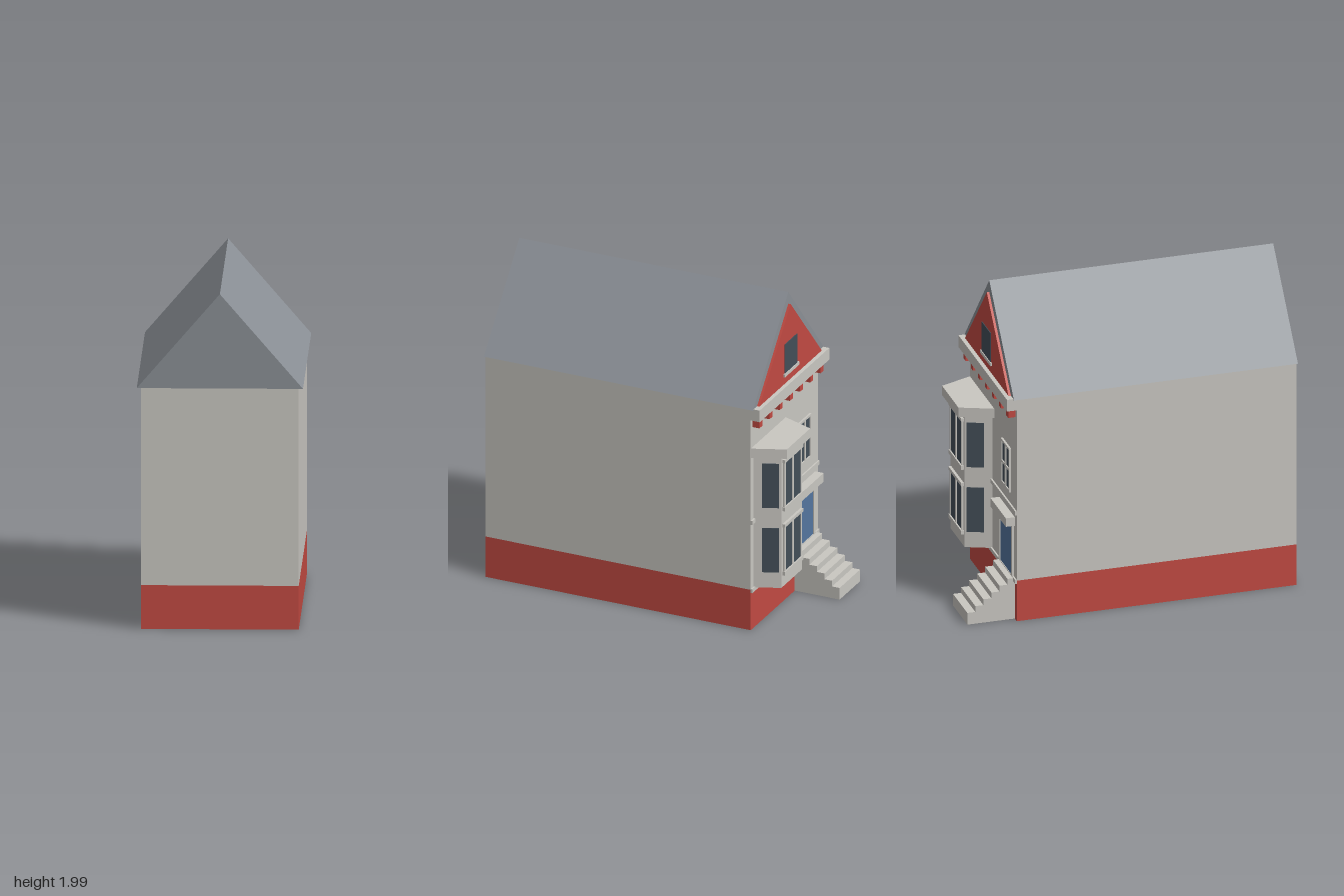
import * as THREE from 'three';

const mat = (name, color) => {
  const m = new THREE.MeshStandardMaterial({ color });
  m.name = name;
  return m;
};

export function createModel() {
  const house = new THREE.Group();
  house.name = 'townhouse';
  const stone = mat('pale stone', 0xc9c7c1);
  const red = mat('brick red', 0xc24a42);
  const slate = mat('roof slate', 0x8b9096);
  const glass = mat('dark glass', 0x434e58);
  const blue = mat('door blue', 0x54769f);

  const add = (name, geometry, material) => {
    const mesh = new THREE.Mesh(geometry, material);
    mesh.name = name;
    house.add(mesh);
    return mesh;
  };
  // Box given by its limits on each axis
  const box = (name, material, x0, x1, y0, y1, z0, z1) => {
    const mesh = add(name, new THREE.BoxGeometry(x1 - x0, y1 - y0, z1 - z0), material);
    mesh.position.set((x0 + x1) / 2, (y0 + y1) / 2, (z0 + z1) / 2);
    return mesh;
  };
  const extrude = (points, depth) => new THREE.ExtrudeGeometry(
    new THREE.Shape(points.map(([x, y]) => new THREE.Vector2(x, y))),
    { depth, bevelEnabled: false });
  // Triangular prism along z
  const gable = (name, material, half, y0, y1, z0, z1) => {
    const g = extrude([[-half, y0], [half, y0], [0, y1]], z1 - z0);
    add(name, g.translate(0, 0, z0), material);
  };
  // Bay-shaped slab; front and back are half widths
  const baySlab = (name, back, front, z, y0, y1) => {
    const c = 0.22;
    const g = extrude([[c - back, 0.71], [c + back, 0.71], [c + front, z], [c - front, z]], y1 - y0);
    add(name, g.rotateX(-Math.PI / 2).translate(0, y0, 0), stone);
  };

  // Main body and roof
  box('basement', red, -0.46, 0.46, 0, 0.26, -0.71, 1);
  box('walls', stone, -0.46, 0.46, 0.26, 1.43, -0.71, 1);
  gable('roof', slate, 0.485, 1.43, 1.99, -0.735, 1);
  gable('gablePanel', red, 0.43, 1.43, 1.915, -0.75, -0.735);

  // Attic window
  box('atticGlass', glass, -0.085, 0.085, 1.505, 1.69, -0.755, -0.75);
  box('atticSill', stone, -0.1, 0.1, 1.485, 1.505, -0.76, -0.75);

  // Cornice with brackets, and string courses
  box('cornice', stone, -0.475, 0.475, 1.36, 1.435, -0.775, -0.7);
  for (let i = -3; i <= 3; i++) {
    const x = i * 0.139;
    box('bracket', red, x - 0.02, x + 0.02, 1.3, 1.36, -0.755, -0.71);
  }
  box('upperStringCourse', stone, -0.46, 0.46, 0.68, 0.705, -0.72, -0.71);
  box('lowerStringCourse', stone, -0.46, 0.46, 0.24, 0.265, -0.72, -0.71);

  // Bay window
  baySlab('bayBody', 0.2, 0.14, 0.86, 0.26, 1.11);
  baySlab('bayCornice', 0.238, 0.16, 0.905, 1.11, 1.17);
  for (const y of [0.36, 0.775]) {
    const top = y + 0.285;
    for (const s of [-1, 1]) {
      const x = 0.22 + s * 0.057;
      box('bayGlass', glass, x - 0.047, x + 0.047, y, top, -0.868, -0.86);
      box('bayJamb', stone, 0.22 + s * 0.112 - 0.008, 0.22 + s * 0.112 + 0.008, y, top, -0.872, -0.86);
      // Pane on the slanted cheek
      const pane = add('baySideGlass', new THREE.BoxGeometry(0.1, 0.285, 0.006), glass);
      pane.position.set(0.22 + s * 0.1635, y + 0.1425, -0.8025);
      pane.rotation.y = Math.atan2(0.15, -s * 0.06);
    }
    box('bayMullion', stone, 0.21, 0.23, y, top, -0.872, -0.86);
    box('bayHead', stone, 0.095, 0.345, top, top + 0.02, -0.877, -0.86);
    box('baySill', stone, 0.095, 0.345, y - 0.025, y, -0.877, -0.86);
  }

  // Four-pane window above the door
  box('hallGlass', glass, -0.335, -0.195, 0.79, 1.045, -0.715, -0.71);
  for (const x of [-0.34, -0.265, -0.19]) {
    box('hallUpright', stone, x - 0.007, x + 0.007, 0.78, 1.055, -0.722, -0.71);
  }
  for (const y of [0.783, 0.918, 1.052]) {
    box('hallRail', stone, -0.345, -0.185, y - 0.007, y + 0.007, -0.722, -0.71);
  }

  // Door and hood
  box('door', blue, -0.38, -0.155, 0.265, 0.6, -0.716, -0.71);
  for (const x of [-0.39, -0.145]) {
    box('doorJamb', stone, x - 0.01, x + 0.01, 0.265, 0.6, -0.722, -0.71);
  }
  box('doorHood', stone, -0.42, -0.12, 0.595, 0.65, -0.765, -0.71);

  // Front steps as one solid profile
  const profile = [[0.71, 0], [1, 0]];
  const heights = [0.075, 0.112, 0.149, 0.186, 0.223];
  heights.forEach((h, i) => profile.push([1 - i * 0.049, h], [1 - (i + 1) * 0.049, h]));
  profile.push([0.755, 0.26], [0.71, 0.26]);
  const steps = extrude(profile, 0.28);
  add('frontSteps', steps.rotateY(Math.PI / 2).translate(-0.42, 0, 0), stone);
  // The profile runs along -z after the turn

  return house;
}
